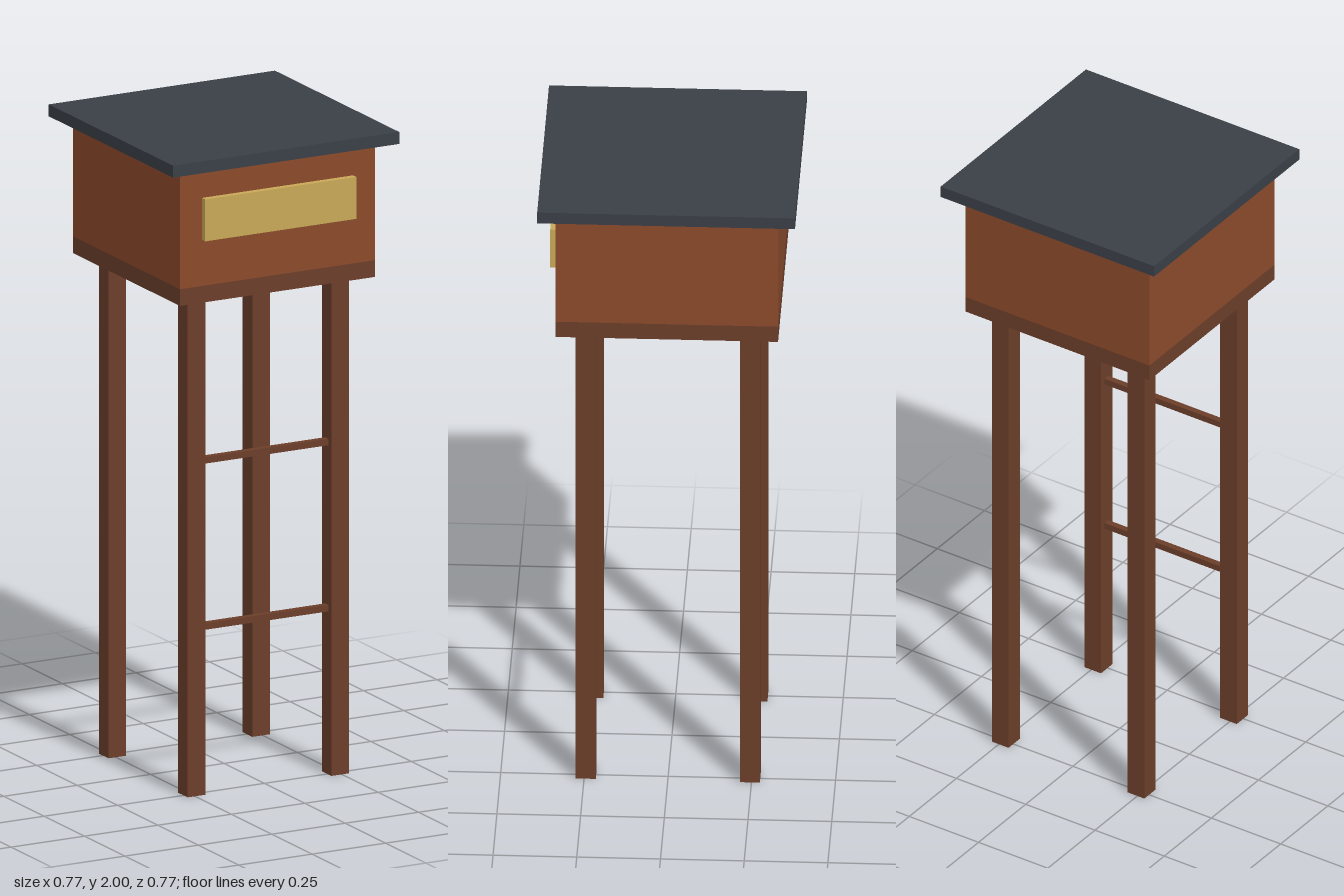
import * as THREE from 'three';

const material = (name, color) => {
  const m = new THREE.MeshStandardMaterial({ color });
  m.name = name;
  return m;
};

export function createModel() {
  const tower = new THREE.Group();
  tower.name = 'watchtower';

  const timber = material('dark timber', 0x6b3e2a);
  const planks = material('wall planks', 0x8b4a2b);
  const slate = material('slate roof', 0x3a3f47);
  const glass = material('amber window', 0xc8a858);

  // Box spanning bottom to top, centred on x and z
  const box = (name, mat, width, bottom, top, depth, x = 0, z = 0) => {
    const mesh = new THREE.Mesh(new THREE.BoxGeometry(width, top - bottom, depth), mat);
    mesh.name = name;
    mesh.position.set(x, (bottom + top) / 2, z);
    tower.add(mesh);
  };

  // Four square legs
  const spread = 0.245, legWidth = 0.06;
  for (const x of [-spread, spread]) {
    for (const z of [-spread, spread]) {
      box(`${z > 0 ? 'front' : 'back'}${x > 0 ? 'Left' : 'Right'}Leg`, timber, legWidth, 0, 1.545, legWidth, x, z);
    }
  }

  // Two rungs between the front legs
  for (const y of [0.515, 1.03]) {
    box('rung', timber, 2 * spread - legWidth, y - 0.01, y + 0.01, 0.02, 0, spread);
  }

  // Cabin: floor, walls, front window, and a roof raised on a thin gap
  box('floor', timber, 0.664, 1.545, 1.597, 0.664);
  box('walls', planks, 0.664, 1.597, 1.957, 0.664);
  box('window', glass, 0.515, 1.74, 1.87, 0.02, 0, 0.342);
  box('roof', slate, 0.77, 1.963, 2, 0.77);

  return tower;
}
